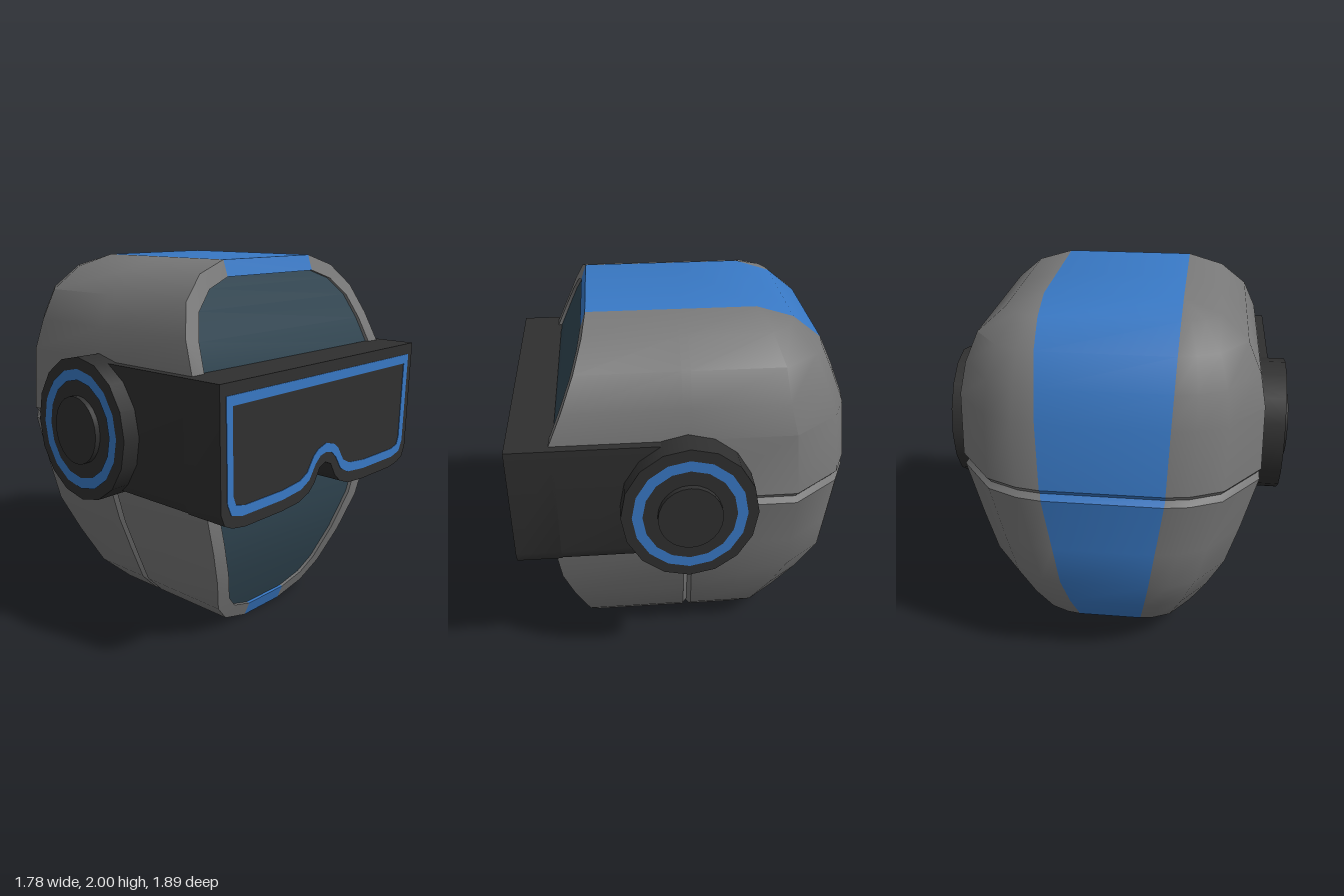
import * as THREE from 'three';
import { toCreasedNormals } from 'three/addons/utils/BufferGeometryUtils.js';

const mat = (name, color) => Object.assign(new THREE.MeshStandardMaterial({ color }), { name });

// Helmet slices from top to bottom: [y, half width, back x, front x]
const SLICES = [
  [2, 0.35, -0.37, 0.48], [1.94, 0.54, -0.56, 0.5], [1.82, 0.68, -0.71, 0.545], [1.66, 0.75, -0.785, 0.61],
  [1.5, 0.78, -0.85, 0.68], [1.16, 0.785, -0.89, 0.7], [1.13, 0.76, -0.865, 0.7], [1.1, 0.78, -0.89, 0.7],
  [0.8, 0.7, -0.867, 0.7], [0.58, 0.63, -0.85, 0.68], [0.37, 0.54, -0.74, 0.625], [0.17, 0.45, -0.6, 0.55],
  [0.06, 0.34, -0.42, 0.505], [0, 0.15, -0.31, 0.48],
];
const LAST = SLICES.length - 1;
const SEAM = 6; // slice pressed in as the horizontal seam

// Outward direction [z, y] of the helmet outline at a slice
function outlineNormal(i) {
  if (i === 0) return [0, 1];
  if (i === LAST) return [0, -1];
  const a = SLICES[i - 1], b = SLICES[i + 1];
  const dz = b[1] - a[1], dy = b[0] - a[0], l = Math.hypot(dz, dy);
  return [-dy / l, dz / l];
}

// Front edge x at any height
function frontX(y) {
  for (let i = 0; i < LAST; i++) {
    const a = SLICES[i], b = SLICES[i + 1];
    if (y >= b[0]) return THREE.MathUtils.mapLinear(y, a[0], b[0], a[3], b[3]);
  }
  return SLICES[LAST][3];
}

// One slice, running from the left front edge round the back to the right front edge
function sliceLoop(i) {
  const [y, w, back, front] = SLICES[i];
  const k = y > 1.13 ? 0.31 + (y - 1.13) * 0.046 : 0.15 + y * 0.142; // stripe half width
  const half = Math.min(k, w), c = w - half, s = c / 0.46;
  const [nz, ny] = outlineNormal(i);
  const groove = -0.03 + 0.04 * Math.min(y, 1.1), depth = y < 1.1 ? 0.025 : 0;
  const left = [
    [front, y, w], [groove + 0.022, y, w],
    [groove, y - ny * depth, w - nz * depth],
    [groove - 0.022, y, w], [back + 0.33 * s, y, w],
    [back + 0.09 * s, y, half + 0.6 * c], [back + 0.02 * s, y, half + 0.26 * c], [back, y, half],
  ];
  return left.concat(left.map(([x, yy, z]) => [x, yy, -z]).reverse());
}

// Gathers quads per material slot into one creased geometry
function quadGeometry(slots, crease) {
  const geo = new THREE.BufferGeometry();
  const pos = [];
  slots.forEach((quads, m) => {
    const start = pos.length / 3;
    for (const [a, b, c, d] of quads) pos.push(...a, ...b, ...c, ...a, ...c, ...d);
    geo.addGroup(start, pos.length / 3 - start, m);
  });
  geo.setAttribute('position', new THREE.Float32BufferAttribute(pos, 3));
  return toCreasedNormals(geo, crease);
}

// Shape from half an outline of [z, y] points, mirrored across the middle
function mirroredPoints(half) {
  const other = half.filter(([z]) => z > 0).map(([z, y]) => [-z, y]).reverse();
  return half.concat(other).map(([z, y]) => new THREE.Vector2(z, y));
}

// Extrude a (z, y) shape along x
function extrudeX(shape, x0, x1) {
  const geo = new THREE.ExtrudeGeometry(shape, { depth: x1 - x0, bevelEnabled: false });
  geo.rotateY(Math.PI / 2).translate(x0, 0, 0);
  return toCreasedNormals(geo, 0.6);
}

export function createModel() {
  const model = new THREE.Group();
  model.name = 'helmet';
  const grey = mat('shell grey', 0x787878);
  const blue = mat('trim blue', 0x3878c4);
  const dark = mat('visor black', 0x2f2f2f);
  const teal = mat('face glass', 0x304551);
  const add = (name, geo, material, parent = model) => {
    const mesh = new THREE.Mesh(geo, material);
    mesh.name = name;
    parent.add(mesh);
    return mesh;
  };

  // Shell with the stripe over the top, back and bottom
  const loops = SLICES.map((_, i) => sliceLoop(i));
  const n = loops[0].length, mid = n / 2 - 1;
  const greyQuads = [], blueQuads = [], glassQuads = [];
  for (let i = 0; i < LAST; i++) {
    for (let j = 0; j < n - 1; j++) {
      (j === mid ? blueQuads : greyQuads).push(
        [loops[i][j], loops[i][j + 1], loops[i + 1][j + 1], loops[i + 1][j]]);
    }
  }
  const top = loops[0], bottom = loops[LAST];
  for (let j = 0; j < mid; j++) {
    blueQuads.push([top[j], top[n - 1 - j], top[n - 2 - j], top[j + 1]]);
    blueQuads.push([bottom[j], bottom[j + 1], bottom[n - 2 - j], bottom[n - 1 - j]]);
  }

  // Front rim, its inner lip and the recessed face glass
  const flip = ([x, y, z]) => [x, y, -z];
  const outer = loops.map((l) => l[0]);
  const inner = SLICES.map(([y, w], i) => {
    const [nz, ny] = outlineNormal(i === SEAM ? SEAM - 1 : i);
    const yy = y - ny * 0.083;
    return [frontX(yy), yy, w - nz * 0.083];
  });
  const sunk = inner.map(([x, y, z]) => [x - 0.02, y, z]);
  for (let i = 0; i < LAST; i++) {
    for (const [a, b] of [[outer, inner], [inner, sunk]]) {
      const quad = [a[i], a[i + 1], b[i + 1], b[i]];
      greyQuads.push(quad, quad.map(flip).reverse());
    }
    glassQuads.push([sunk[i], sunk[i + 1], flip(sunk[i + 1]), flip(sunk[i])]);
  }
  for (const [a, b] of [[outer, inner], [inner, sunk]]) {
    blueQuads.push([a[0], b[0], flip(b[0]), flip(a[0])]);
    blueQuads.push([a[LAST], flip(a[LAST]), flip(b[LAST]), b[LAST]]);
  }
  add('shell', quadGeometry([greyQuads, blueQuads], 0.66), [grey, blue]);
  add('faceGlass', quadGeometry([glassQuads], 0.8), teal);

  // Visor block with nose notch
  const visor = new THREE.Shape(mirroredPoints([
    [0, 0.965], [0.05, 0.945], [0.09, 0.875], [0.14, 0.83], [0.22, 0.8], [0.36, 0.79], [0.64, 0.79],
    [0.73, 0.805], [0.785, 0.83], [0.81, 0.89], [0.825, 1.5]]));
  add('visor', extrudeX(visor, 0.66, 0.89), dark);

  // Blue outline on the visor
  const line = new THREE.Shape(mirroredPoints([
    [0, 1.02], [0.05, 1.01], [0.09, 0.975], [0.14, 0.9], [0.21, 0.865], [0.36, 0.85], [0.66, 0.85],
    [0.74, 0.87], [0.768, 0.93], [0.783, 1.44]]));
  line.holes.push(new THREE.Path(mirroredPoints([
    [0, 1.07], [0.07, 1.05], [0.11, 1.02], [0.16, 0.945], [0.22, 0.915], [0.36, 0.9], [0.65, 0.9],
    [0.71, 0.915], [0.728, 0.96], [0.74, 1.39]])));
  add('visorOutline', extrudeX(line, 0.886, 0.893), blue);

  // Visor arms and ear discs on both sides
  for (const side of [1, -1]) {
    const prefix = side > 0 ? 'left' : 'right';
    const arm = new THREE.Shape([[0.6, 1.5], [0.825, 1.5], [0.81, 0.89], [0.785, 0.835], [0.73, 0.81], [0.6, 0.805]]
      .map(([z, y]) => new THREE.Vector2(z * -side, y)));
    add(prefix + 'VisorArm', extrudeX(arm, 0, 0.67), dark);

    const ear = new THREE.Group();
    ear.name = prefix + 'Ear';
    ear.position.set(0.012, 1.155, 0);
    ear.scale.x = 0.91;
    if (side < 0) ear.rotation.y = Math.PI;
    model.add(ear);
    const disc = (name, r, z0, z1, sides) => add(name,
      new THREE.CylinderGeometry(r, r, z1 - z0, sides).rotateX(Math.PI / 2).translate(0, 0, (z0 + z1) / 2), dark, ear);
    disc('earDisc', 0.375, 0.62, 0.914, 16);
    disc('earCap', 0.177, 0.9, 0.943, 24);
    add('earRing', new THREE.RingGeometry(0.258, 0.315, 16).translate(0, 0, 0.918), blue, ear);
  }
  return model;
}
